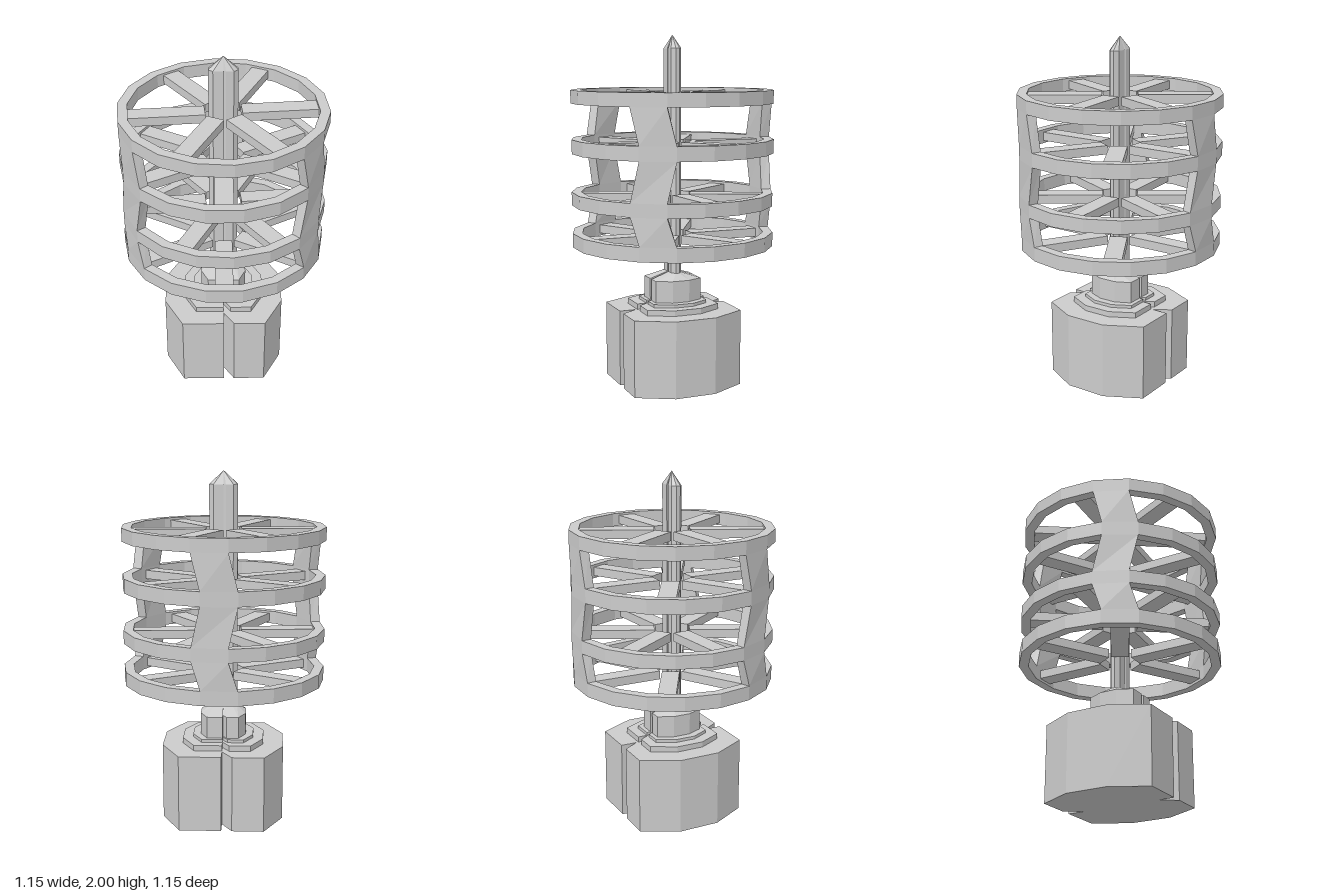
import * as THREE from 'three';

const material = new THREE.MeshStandardMaterial({ color: 0xcccccc, flatShading: true });
const rad = THREE.MathUtils.degToRad;

function addMesh(parent, geometry, name) {
  const mesh = new THREE.Mesh(geometry, material);
  mesh.name = name;
  parent.add(mesh);
  return mesh;
}

// Closed solid through a stack of equal loops (counterclockwise seen from above, bottom first)
function loft(loops) {
  const pos = [];
  const n = loops[0].length;
  const tri = (a, b, c) => pos.push(...a, ...b, ...c);
  for (let l = 0; l + 1 < loops.length; l++) {
    for (let i = 0; i < n; i++) {
      const j = (i + 1) % n;
      const [a, b, c, d] = [loops[l][i], loops[l][j], loops[l + 1][j], loops[l + 1][i]];
      tri(a, b, c);
      tri(a, c, d);
    }
  }
  const flat = loops[0].map(([x, , z]) => new THREE.Vector2(x, -z));
  const top = loops[loops.length - 1];
  for (const [a, b, c] of THREE.ShapeUtils.triangulateShape(flat, [])) {
    tri(loops[0][a], loops[0][c], loops[0][b]);
    tri(top[a], top[b], top[c]);
  }
  const geometry = new THREE.BufferGeometry();
  geometry.setAttribute('position', new THREE.Float32BufferAttribute(pos, 3));
  geometry.computeVertexNormals();
  return geometry;
}

// Octagonal outline with a notch in front and, turned half round, one behind
const half = [[-0.347, 0.12], [-0.24, 0.325], [0, 0.325], [0, 0.23], [0.06, 0.325], [0.24, 0.325], [0.347, 0.12]];
const outline = [...half, ...half.map(([x, z]) => [-x, -z])];
const level = (y, sx, sz = sx) => outline.map(([x, z]) => [x * sx, y, z * sz]);

const OUTER = 0.575, INNER = 0.52, SIDES = 18;
const tiers = [
  { y0: 0.81, y1: 0.89, turn: 0 },
  { y0: 1.045, y1: 1.12, turn: -25 },
  { y0: 1.34, y1: 1.42, turn: 0 },
  { y0: 1.62, y1: 1.695, turn: -25 },
];

// Faceted ring with six loose spokes
function makeTier({ y0, y1, turn }) {
  const tier = new THREE.Group();
  tier.name = 'ringTier';
  tier.rotation.y = rad(turn);
  const profile = [[INNER, y0], [OUTER, y0], [OUTER, y1], [INNER, y1], [INNER, y0]]
    .map(([r, y]) => new THREE.Vector2(r, y));
  addMesh(tier, new THREE.LatheGeometry(profile, SIDES), 'ring').rotation.y = rad(10);

  const spoke = new THREE.BoxGeometry(0.42, 0.05, 0.1);
  spoke.translate(0.31, (y0 + y1) / 2, 0);
  for (let k = 0; k < 6; k++) addMesh(tier, spoke, 'spoke').rotation.y = rad(30 + 60 * k);
  return tier;
}

// Cross-section of a panel: one facet of the ring, centred on an angle
function panelLoop(angle, y) {
  const p = (r, deg) => [r * Math.cos(rad(deg)), y, -r * Math.sin(rad(deg))];
  return [p(INNER, angle - 10), p(OUTER, angle - 10), p(OUTER, angle + 10), p(INNER, angle + 10)];
}

export function createModel() {
  const model = new THREE.Group();
  model.name = 'ringedTower';

  // Stepped, notched pedestal
  addMesh(model, loft([level(0, 1), level(0.44, 1)]), 'base');
  addMesh(model, loft([level(0.44, 0.67), level(0.472, 0.67)]), 'lowerStep');
  addMesh(model, loft([level(0.472, 0.5), level(0.49, 0.5)]), 'upperStep');

  // Collar tapering into the flat shaft and its pointed tip
  addMesh(model, loft([
    level(0.49, 0.375, 0.425), level(0.615, 0.375, 0.425), level(0.65, 0.23, 0.095),
    level(1.925, 0.23, 0.095), level(2, 0),
  ]), 'shaft');

  // Stacked rings
  for (const tier of tiers) model.add(makeTier(tier));

  // Three slanted panels between each pair of rings
  for (let t = 0; t < tiers.length - 1; t++) {
    const low = tiers[t], high = tiers[t + 1];
    const slant = (tier) => (tier.turn ? -5 : 0);
    for (const angle of [90, 210, 330]) {
      addMesh(model, loft([
        panelLoop(angle + slant(low), low.y1),
        panelLoop(angle + slant(high), high.y0),
      ]), 'panel');
    }
  }
  return model;
}
